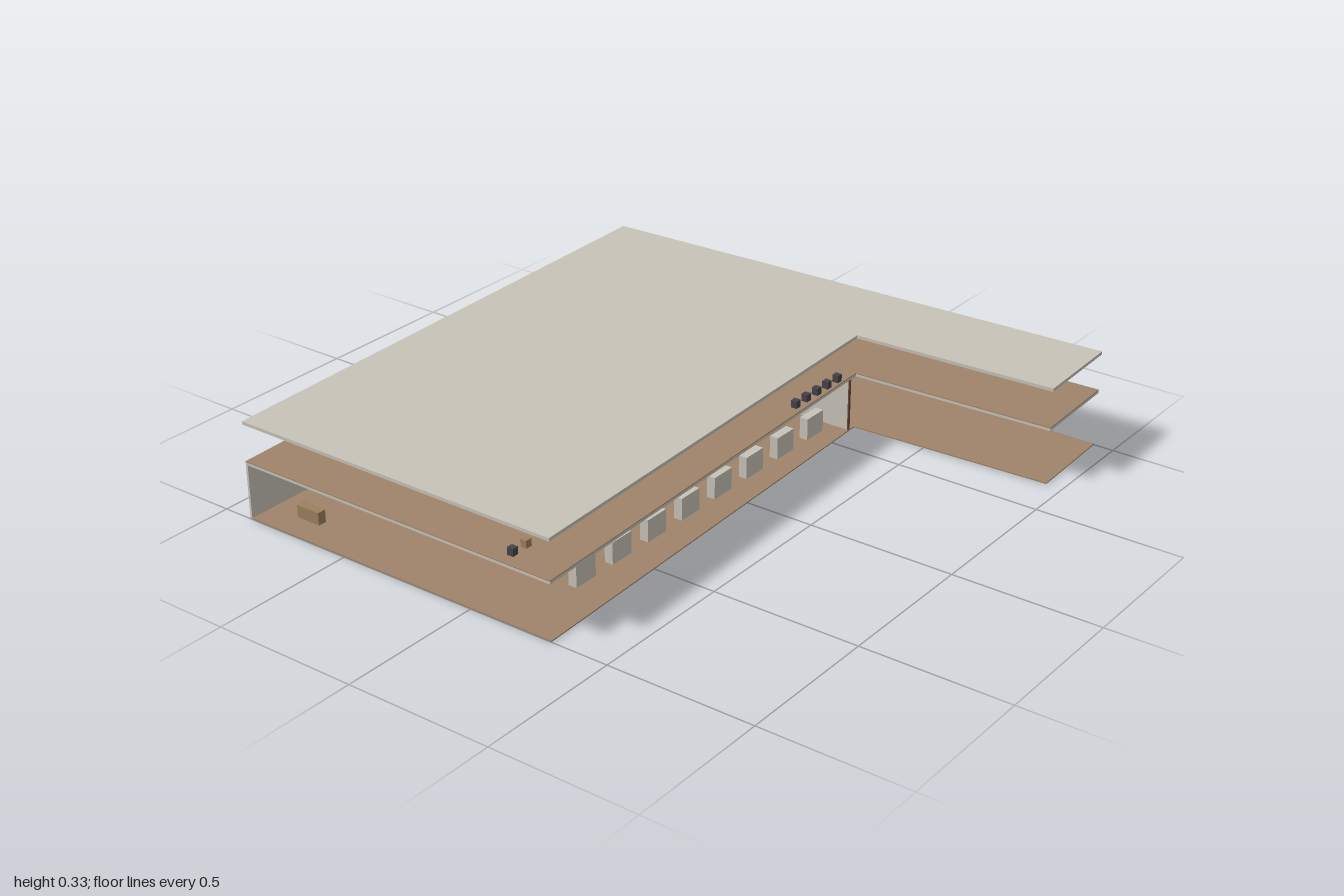
import * as THREE from 'three';

const mat = (name, color) => {
  const m = new THREE.MeshStandardMaterial({ color });
  m.name = name;
  return m;
};

export function createModel() {
  const model = new THREE.Group();
  model.name = 'building';
  const plaster = mat('plaster', 0xc8c3b8);
  const flooring = mat('flooring', 0xa0846a);
  const wood = mat('wood', 0x9c7f5f);
  const trim = mat('darkWood', 0x684a37);
  const charcoal = mat('charcoal', 0x45434a);

  // Box given by its minimum and maximum on each axis
  const box = (name, m, x0, x1, y0, y1, z0, z1) => {
    const mesh = new THREE.Mesh(new THREE.BoxGeometry(x1 - x0, y1 - y0, z1 - z0), m);
    mesh.position.set((x0 + x1) / 2, (y0 + y1) / 2, (z0 + z1) / 2);
    mesh.name = name;
    model.add(mesh);
    return mesh;
  };

  // L-shaped plan, as (x, z)
  const plan = [[-0.895, 1], [0.302, 1], [0.24, -0.635], [0.943, -0.665], [0.932, -1], [-0.949, -0.925]];
  const stairwell = [[-0.895, -0.91], [-0.895, -0.71], [-0.78, -0.71], [-0.78, -0.91]];
  const points = (list) => list.map(([x, z]) => new THREE.Vector2(x, -z));
  const slab = (name, m, y0, y1, hole) => {
    const shape = new THREE.Shape(points(plan));
    if (hole) shape.holes.push(new THREE.Path(points(hole)));
    const geo = new THREE.ExtrudeGeometry(shape, { depth: y1 - y0, bevelEnabled: false });
    geo.rotateX(-Math.PI / 2);
    const mesh = new THREE.Mesh(geo, m);
    mesh.position.y = y0;
    mesh.name = name;
    model.add(mesh);
  };

  // Floors and roof
  slab('groundFloor', flooring, 0.001, 0.005);
  slab('upperSlab', plaster, 0.187, 0.196, stairwell);
  slab('upperFloor', flooring, 0.196, 0.199, stairwell);
  slab('roof', plaster, 0.323, 0.334);

  // Outer left wall and rear partition with a door opening and a slit
  const top = 0.187;
  box('leftWall', plaster, -0.895, -0.887, 0, top, -0.7, 1);
  box('rearWall', plaster, -0.815, -0.775, 0, top, -0.61, -0.6);
  box('rearWall', plaster, -0.762, -0.485, 0, top, -0.61, -0.6);
  box('rearWall', plaster, -0.44, 0.235, 0, top, -0.61, -0.6);
  box('rearDoorHeader', plaster, -0.485, -0.44, 0.115, top, -0.61, -0.6);
  box('wallEndTrim', trim, 0.235, 0.239, 0, top, -0.61, -0.6);

  // Lobby leading to the stairs
  box('lobbyWall', plaster, -0.82, -0.812, 0, top, -0.695, -0.605);
  box('stairDoorHeader', plaster, -0.887, -0.82, 0.115, top, -0.705, -0.697);
  box('stairDoorJamb', plaster, -0.835, -0.82, 0, 0.115, -0.705, -0.697);
  for (const z of [-0.7, -0.602]) box('lobbyPost', trim, -0.821, -0.811, 0, top, z - 0.005, z + 0.005);
  box('cornerPost', trim, -0.897, -0.885, 0, top, -0.706, -0.7);

  // Two flights of open stairs joined by a landing
  const steps = 10;
  for (let i = 0; i < steps; i++) {
    const y = 0.005 + i * 0.009;
    const z = -0.72 - i * 0.014;
    box('lowerStep', wood, -0.885, -0.837, y, y + 0.01, z - 0.015, z);
    box('upperStep', wood, -0.83, -0.782, 0.184 - i * 0.009, 0.194 - i * 0.009, z - 0.005, z + 0.01);
  }
  box('landing', wood, -0.885, -0.782, 0.087, 0.097, -0.92, -0.855);
  box('stairRailing', charcoal, -0.772, -0.768, 0.199, 0.25, -0.92, -0.7);

  // Grid of free-standing cabinets on the ground floor
  for (let i = 0; i < 8; i++) {
    for (let j = 0; j < 8; j++) {
      const x = -0.73 + i * 0.127;
      const z = 0.687 - j * 0.17;
      box('cabinet', plaster, x - 0.015, x + 0.015, 0, 0.08, z - 0.045, z + 0.045);
    }
  }

  // Ground floor furniture
  box('receptionDesk', wood, -0.78, -0.69, 0.004, 0.048, 0.882, 0.912);
  box('rearStool', wood, -0.705, -0.68, 0.004, 0.027, -0.91, -0.88);
  box('rearSeat', charcoal, -0.75, -0.728, 0.004, 0.027, -0.91, -0.88);

  // Upper floor furniture
  for (let i = 0; i < 5; i++) {
    const x = -0.787 + i * 0.191;
    for (const z of [-0.288, -0.51]) box('desk', wood, x - 0.039, x + 0.039, 0.198, 0.224, z - 0.013, z + 0.013);
    const z = -0.31 - i * 0.059;
    box('chair', charcoal, 0.214, 0.236, 0.198, 0.224, z - 0.011, z + 0.011);
  }
  box('frontChair', charcoal, 0.112, 0.134, 0.198, 0.224, 0.938, 0.96);
  box('frontTable', wood, 0.112, 0.134, 0.198, 0.224, 0.878, 0.902);

  return model;
}
